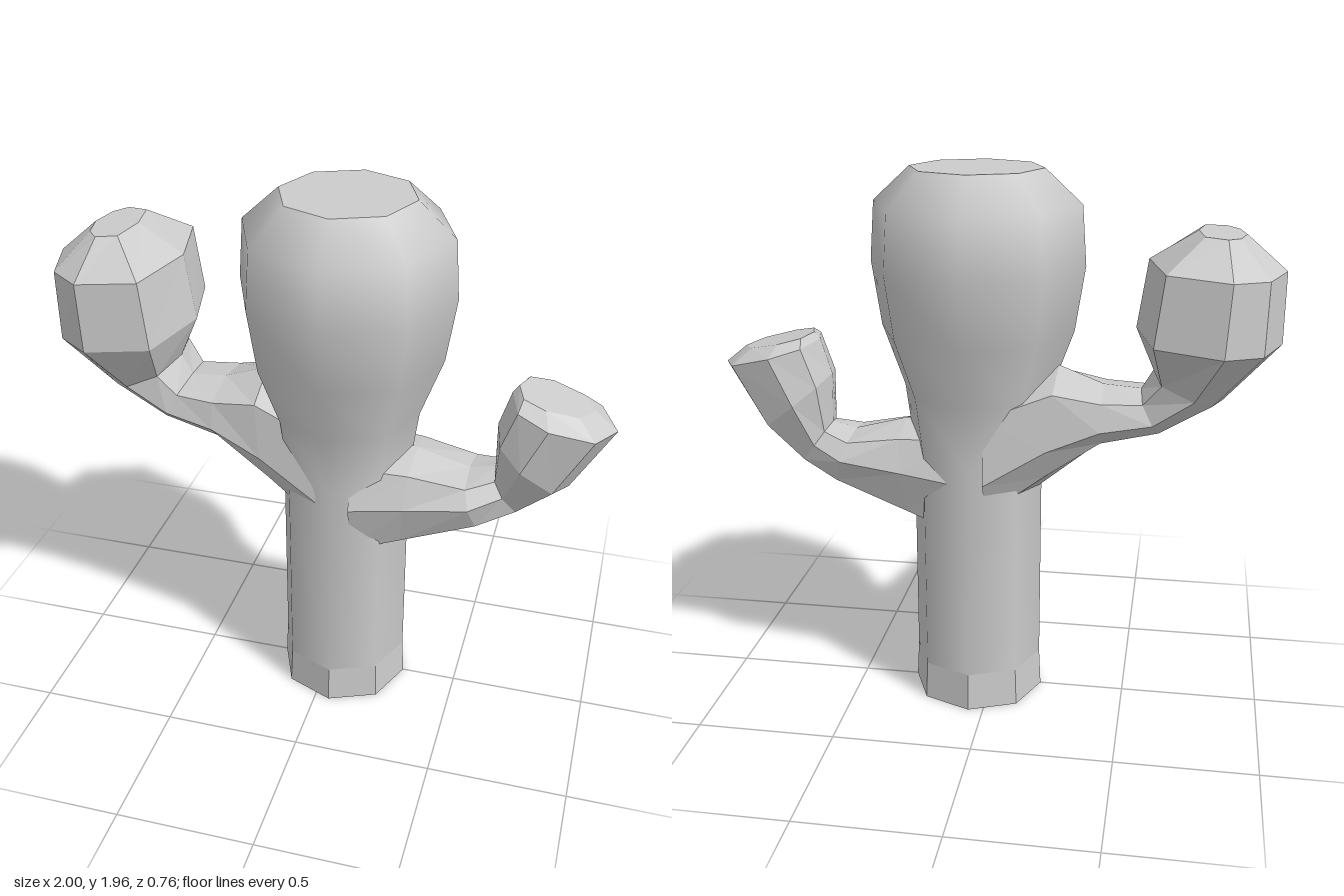
import * as THREE from 'three';

const TRUNK_X = 0.055;
const smooth = new THREE.MeshStandardMaterial({ color: 0xcccccc });
const faceted = new THREE.MeshStandardMaterial({ color: 0xcccccc, flatShading: true });

function add(group, name, geometry, material, x = 0, y = 0) {
  const mesh = new THREE.Mesh(geometry, material);
  mesh.name = name;
  mesh.position.set(x, y, 0);
  group.add(mesh);
}

// Lofts eight-sided rings. Each ring is [outer x, outer y, inner x, inner y, half width, z centre];
// section lists [share of the way from outer to inner, share of the half width].
function armGeometry(rings, section) {
  const outline = [[0, 0], ...section, [1, 0], ...section.map(([t, w]) => [t, -w]).reverse()];
  const n = outline.length;
  const loops = rings.map(([ax, ay, bx, by, w, zc]) =>
    outline.map(([t, s]) => new THREE.Vector3(ax + (bx - ax) * t, ay + (by - ay) * t, zc + w * s)));
  const end = loops[loops.length - 1];
  const flip = end[0].x > end[n / 2].x;
  const points = [];
  const tri = (a, b, c) => points.push(...(flip ? [a, c, b] : [a, b, c]));

  for (let i = 0; i < loops.length - 1; i++) {
    for (let j = 0; j < n; j++) {
      const k = (j + 1) % n;
      const [a, b, c, d] = [loops[i][j], loops[i][k], loops[i + 1][k], loops[i + 1][j]];
      tri(a, b, c);
      tri(a, c, d);
    }
  }
  // Close the tip
  const centre = end.reduce((sum, p) => sum.add(p), new THREE.Vector3()).divideScalar(n);
  for (let j = 0; j < n; j++) tri(end[j], end[(j + 1) % n], centre);

  const geometry = new THREE.BufferGeometry().setFromPoints(points);
  geometry.computeVertexNormals();
  return geometry;
}

export function createModel() {
  const group = new THREE.Group();
  group.name = 'cactus';

  // Flared faceted foot
  add(group, 'foot', new THREE.CylinderGeometry(0.235, 0.242, 0.14, 8), faceted, TRUNK_X, 0.07);

  // Smooth trunk swelling into a bulbous head
  const profile = [
    [0.235, 0.14], [0.235, 0.95], [0.265, 1.18], [0.345, 1.4],
    [0.38, 1.63], [0.365, 1.84], [0.235, 1.96],
  ].map(([r, y]) => new THREE.Vector2(r, y));
  add(group, 'trunk', new THREE.LatheGeometry(profile, 8), smooth, TRUNK_X);

  // Flat top of the head
  const top = new THREE.CircleGeometry(0.235, 8).rotateX(-Math.PI / 2);
  add(group, 'trunkTop', top, faceted, TRUNK_X, 1.96);

  // Larger, higher arm
  add(group, 'rightArm', armGeometry([
    [0, 0.68, 0, 1.2, 0.225, -0.01],
    [-0.2, 0.845, -0.24, 1.28, 0.2, -0.015],
    [-0.4, 1.01, -0.4, 1.22, 0.18, -0.02],
    [-0.61, 1.06, -0.53, 1.21, 0.155, -0.02],
    [-0.81, 1.18, -0.57, 1.28, 0.18, -0.025],
    [-1, 1.39, -0.505, 1.43, 0.31, -0.03],
    [-1, 1.64, -0.54, 1.67, 0.3, -0.03],
    [-0.86, 1.76, -0.7, 1.77, 0.145, -0.03],
  ], [[0.14, 0.68], [0.4, 1], [0.86, 0.88]]), faceted);

  // Smaller, lower arm
  add(group, 'leftArm', armGeometry([
    [0.12, 0.59, 0.12, 1.07, 0.215, 0.01],
    [0.29, 0.67, 0.32, 1.05, 0.19, 0.01],
    [0.57, 0.8, 0.51, 1.0, 0.165, 0.01],
    [0.71, 0.865, 0.6, 1.02, 0.11, 0.01],
    [0.86, 0.99, 0.6, 1.2, 0.17, 0.025],
    [1, 1.23, 0.64, 1.33, 0.175, 0.025],
    [0.92, 1.295, 0.66, 1.355, 0.11, 0.02],
  ], [[0.18, 0.75], [0.6, 1], [0.9, 0.75]]), faceted);

  return group;
}
